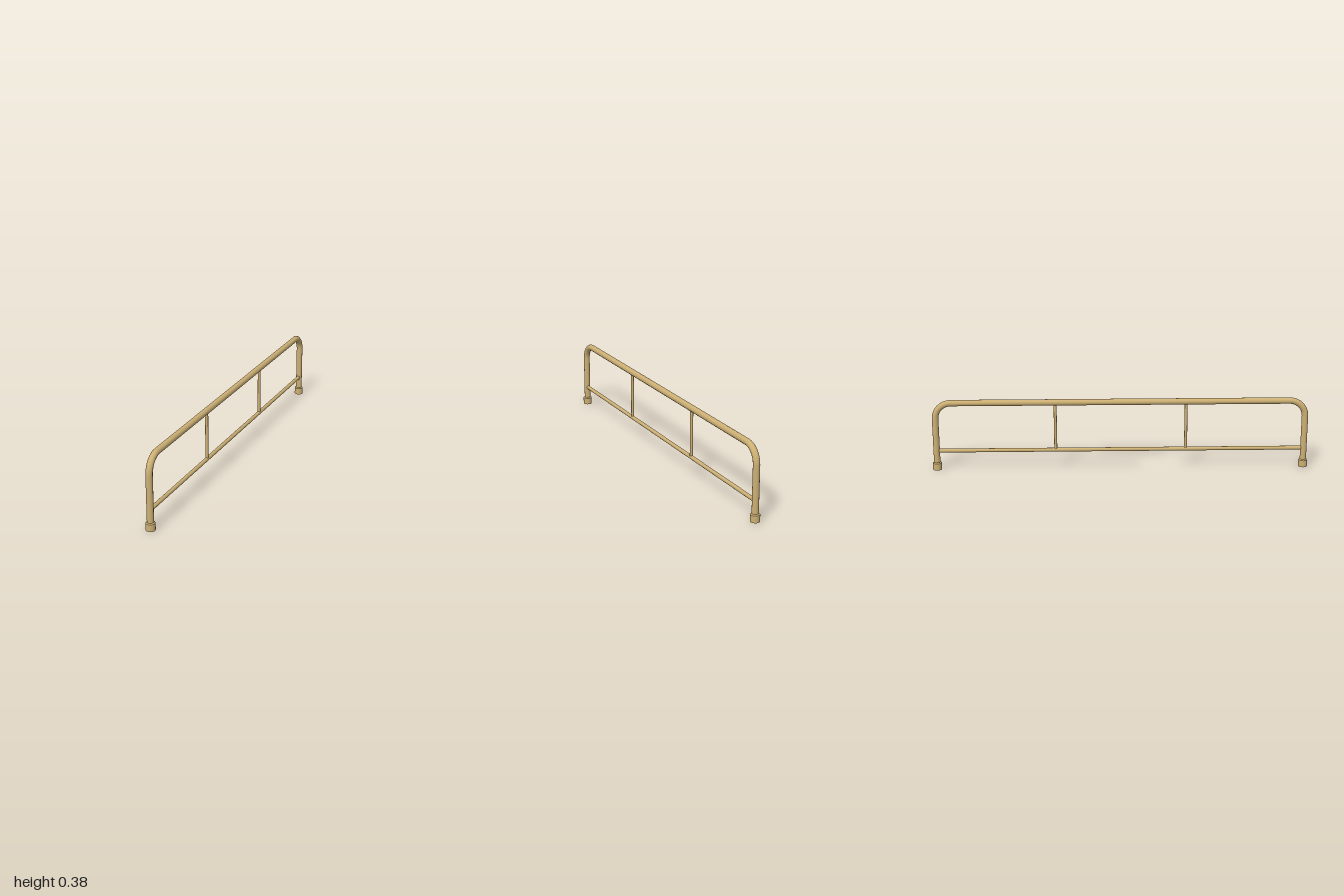
import * as THREE from 'three';

const brass = new THREE.MeshStandardMaterial({ color: 0xcdb074 });
brass.name = 'brass';

const LEG_Z = 0.976, TOP_Y = 0.367, BEND = 0.085, R = 0.017, RAIL_Y = 0.104;
const SIDES = 12;

export function createModel() {
  const group = new THREE.Group();
  group.name = 'railing';

  const add = (name, geometry, y, z) => {
    const mesh = new THREE.Mesh(geometry, brass);
    mesh.name = name;
    mesh.position.set(0, y, z);
    group.add(mesh);
    return mesh;
  };
  // upright round bar from y0 to y1
  const upright = (name, rBottom, rTop, y0, y1, z, open = true) =>
    add(name, new THREE.CylinderGeometry(rTop, rBottom, y1 - y0, SIDES, 1, open), (y0 + y1) / 2, z);
  // horizontal round bar centred on z = 0
  const rail = (name, r, y, length) =>
    add(name, new THREE.CylinderGeometry(r, r, length, SIDES, 1, true), y, 0).rotation.x = Math.PI / 2;

  // long bars
  rail('topRail', R, TOP_Y, 2 * (LEG_Z - BEND));
  rail('lowerRail', 0.0105, RAIL_Y, 2 * LEG_Z);

  for (const [side, s] of [['front', 1], ['back', -1]]) {
    // foot cap with a bevelled collar
    upright(side + 'Foot', 0.024, 0.024, 0, 0.037, s * LEG_Z, false);
    upright(side + 'FootCollar', 0.024, 0.018, 0.037, 0.042, s * LEG_Z);
    // leg and the bend into the top rail
    upright(side + 'Leg', R, R, 0.03, TOP_Y - BEND, s * LEG_Z);
    const bend = new THREE.TorusGeometry(BEND, R, SIDES, 10, Math.PI / 2);
    add(side + 'Bend', bend, TOP_Y - BEND, s * (LEG_Z - BEND)).rotation.y = -s * Math.PI / 2;
    // thin post between the rails
    upright(side + 'Post', 0.008, 0.008, RAIL_Y, TOP_Y, s * 0.345);
  }
  return group;
}
